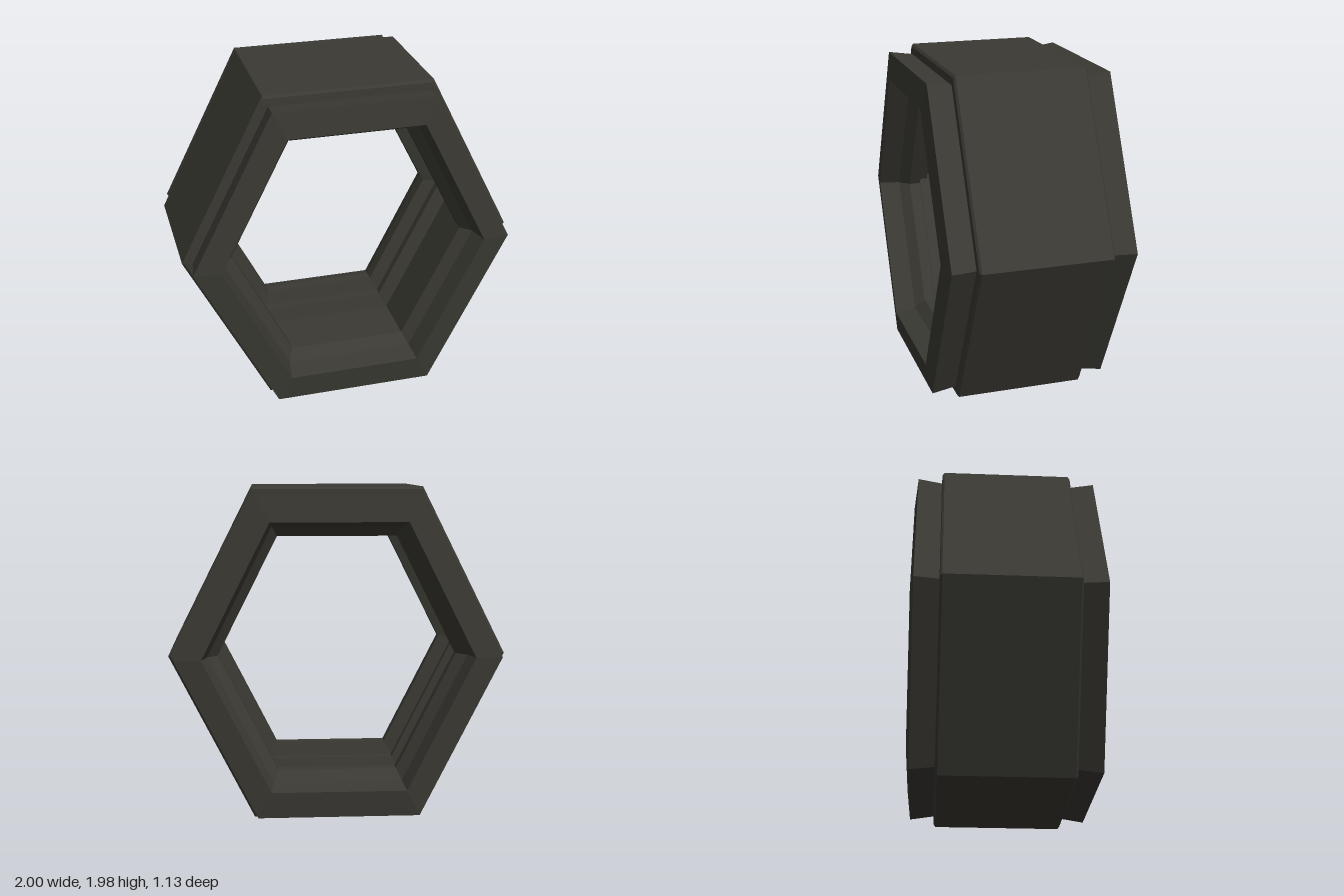
import * as THREE from 'three';

// Hexagon corners, slightly stretched in height
const HEX = [[1, 0], [0.5, 0.99], [-0.5, 0.99], [-1, 0], [-0.5, -0.99], [0.5, -0.99]];

// Sweeps a [scale, z] profile around the hexagon with hard facets
function hexSweep(profile) {
  const pos = [];
  const point = (k, i) => {
    const [x, y] = HEX[k % 6];
    const [s, z] = profile[i];
    return [x * s, y * s, z];
  };
  for (let i = 0; i < profile.length - 1; i++) {
    for (let k = 0; k < 6; k++) {
      const a = point(k, i), b = point(k + 1, i);
      const c = point(k + 1, i + 1), d = point(k, i + 1);
      pos.push(...a, ...b, ...c, ...a, ...c, ...d);
    }
  }
  const geo = new THREE.BufferGeometry();
  geo.setAttribute('position', new THREE.Float32BufferAttribute(pos, 3));
  geo.computeVertexNormals();
  return geo;
}

// Mirrors a front half profile to the back, keeping the running order
const mirrored = half => half.map(([s, z]) => [s, -z]).reverse();

export function createModel() {
  const group = new THREE.Group();
  group.name = 'hexagonalRing';
  const material = new THREE.MeshStandardMaterial({ color: 0x3a3933, flatShading: true });

  const add = (name, profile) => {
    const mesh = new THREE.Mesh(hexSweep(profile), material);
    mesh.name = name;
    mesh.position.y = 0.995;
    group.add(mesh);
  };

  // Outer band with a small bevel down to the collars
  const band = [[1, 0.385], [0.985, 0.397], [0.94, 0.4]];
  add('outerBand', [...mirrored(band), ...band]);

  // Flared collar, its slightly domed face and the tapered lip behind it
  const collar = [[0.94, 0.4], [0.96, 0.545], [0.8, 0.565], [0.77, 0.44], [0.75, 0.42], [0.71, 0.38]];
  add('frontCollar', collar);
  add('backCollar', mirrored(collar));

  // Inner bore: a narrow ledge on each side of a wide recess
  const bore = [[0.71, 0.38], [0.71, 0.31], [0.8, 0.29], [0.8, 0.24], [0.9, 0.22]];
  add('innerRecess', [...bore, ...mirrored(bore)]);

  return group;
}
